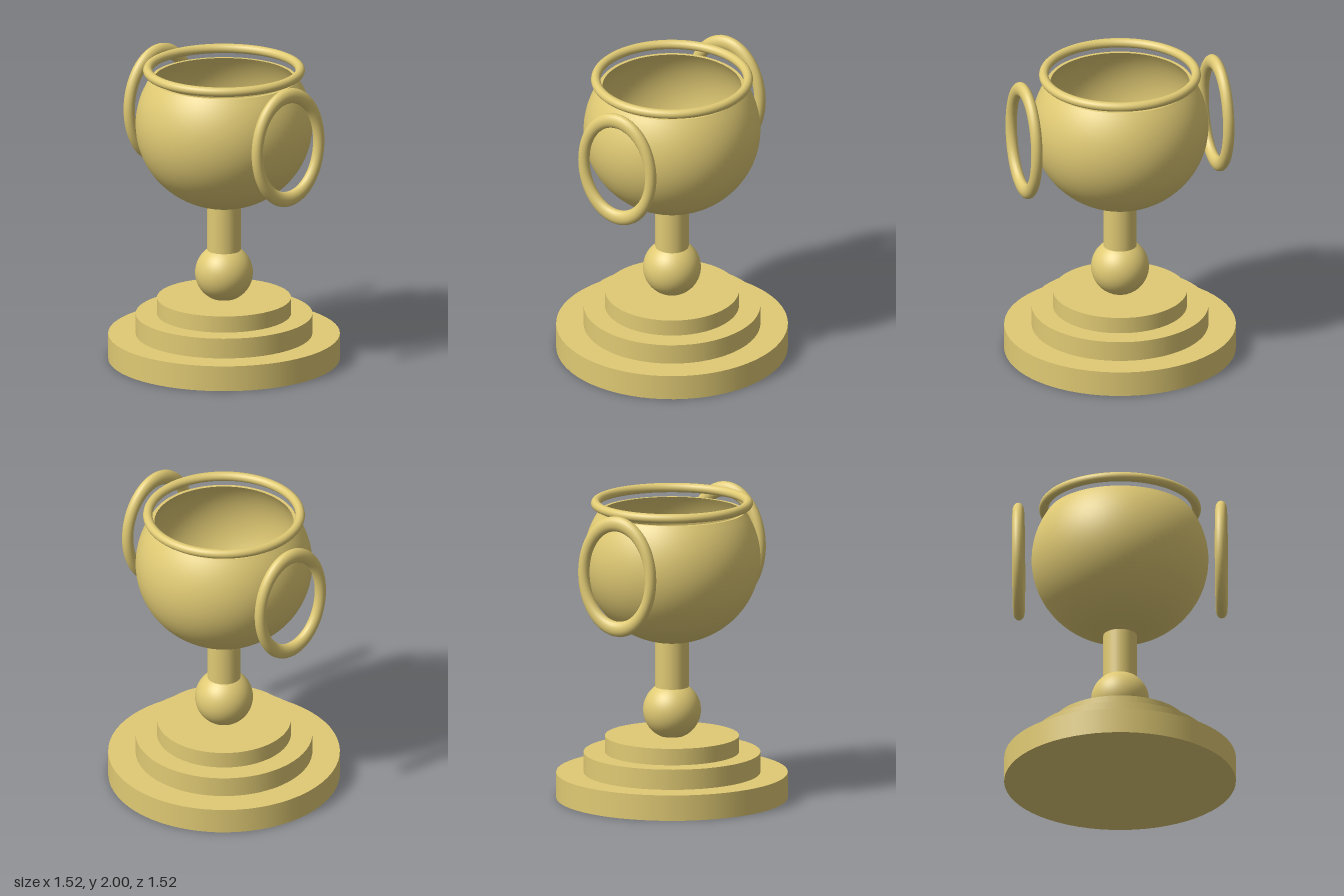
import * as THREE from 'three';

export function createModel() {
  const trophy = new THREE.Group();
  trophy.name = 'trophyCup';
  const gold = new THREE.MeshStandardMaterial({ color: 0xe0ca74 });
  const goldShell = new THREE.MeshStandardMaterial({ color: 0xe0ca74, side: THREE.DoubleSide });

  const add = (name, geometry, x, y, material = gold) => {
    const mesh = new THREE.Mesh(geometry, material);
    mesh.name = name;
    mesh.position.set(x, y, 0);
    trophy.add(mesh);
    return mesh;
  };
  const disc = (name, radius, y0, y1, segments = 64) =>
    add(name, new THREE.CylinderGeometry(radius, radius, y1 - y0, segments), 0, (y0 + y1) / 2);

  // Stepped round base
  disc('baseLower', 0.76, 0, 0.17);
  disc('baseMiddle', 0.58, 0.17, 0.305);
  disc('baseUpper', 0.44, 0.305, 0.415);

  // Ball and stem; the stem's top shows in the bottom of the bowl
  add('stemBall', new THREE.SphereGeometry(0.19, 48, 32), 0, 0.587);
  disc('stem', 0.11, 0.7, 1.1, 48);

  // Hollow bowl: outer wall up to the flat lip, then the inner wall back down
  const lip = 0.315;
  const wall = (rx, ry) => {
    const points = [];
    const end = Math.PI / 2 + Math.asin(lip / ry);
    for (let i = 0; i <= 36; i++) {
      const a = (end * i) / 36;
      points.push(new THREE.Vector2(rx * Math.sin(a), -ry * Math.cos(a)));
    }
    return points;
  };
  const outer = wall(0.58, 0.56);
  const inner = wall(0.562, 0.542).reverse();
  const bowl = new THREE.Group();
  bowl.name = 'bowl';
  bowl.position.y = 1.6;
  const parts = [['bowlOuter', outer], ['bowlLip', [outer[36], inner[0]]], ['bowlInner', inner]];
  for (const [name, points] of parts) {
    const mesh = new THREE.Mesh(new THREE.LatheGeometry(points, 72), goldShell);
    mesh.name = name;
    bowl.add(mesh);
  }
  trophy.add(bowl);

  // Rim ring floating just above the lip
  add('rimRing', new THREE.TorusGeometry(0.5, 0.031, 20, 80).rotateX(Math.PI / 2), 0, 1.969);

  // Tall oval ring handles on both sides
  for (const [name, side] of [['handleLeft', 1], ['handleRight', -1]]) {
    const ring = new THREE.TorusGeometry(0.26, 0.0375, 20, 72)
      .rotateY(Math.PI / 2)
      .scale(1, 1.355, 1);
    add(name, ring, side * 0.665, 1.595);
  }

  return trophy;
}
